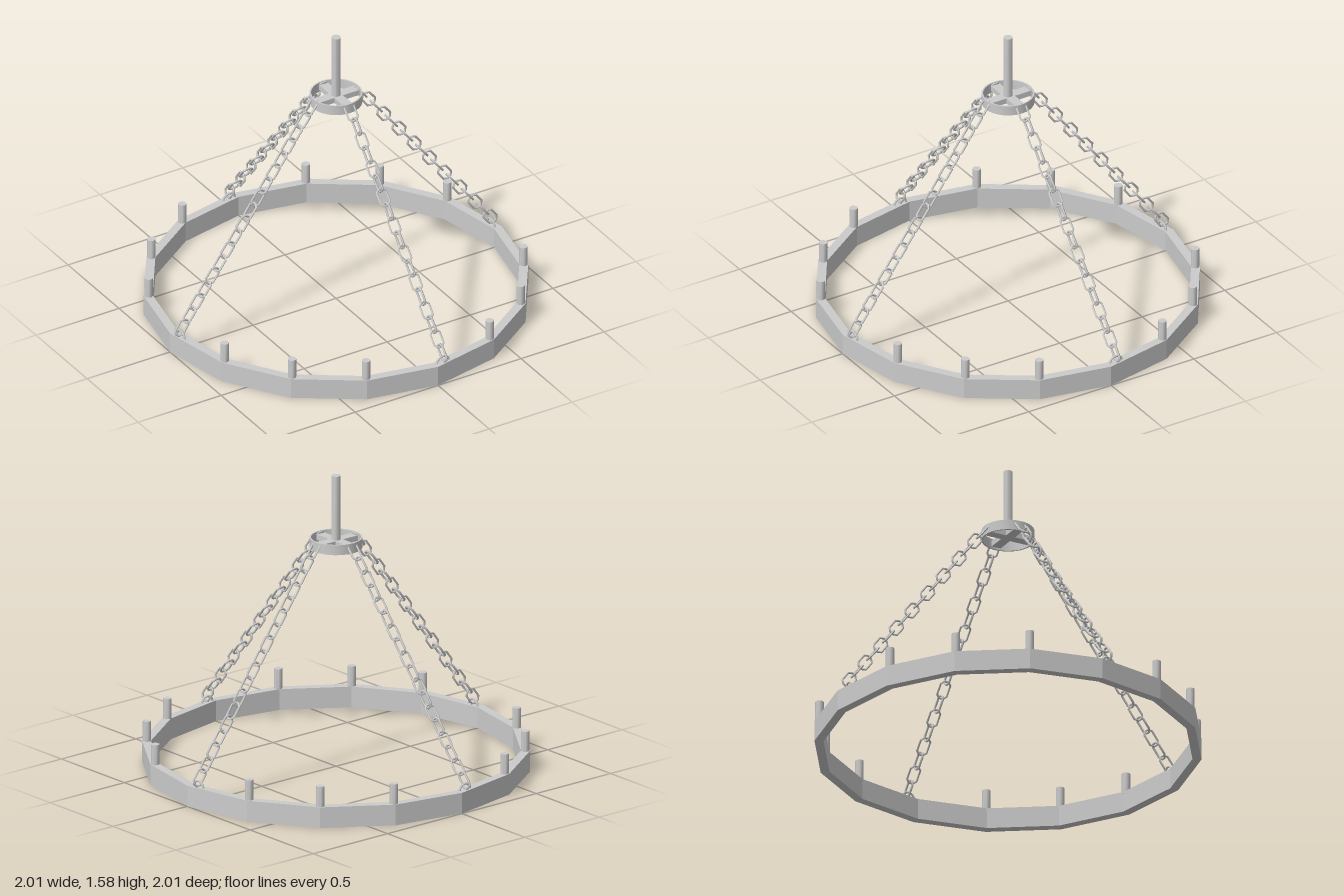
import * as THREE from 'three';
import { toCreasedNormals } from 'three/addons/utils/BufferGeometryUtils.js';

const smooth = new THREE.MeshStandardMaterial({ color: 0xcccccc });
const flat = new THREE.MeshStandardMaterial({ color: 0xcccccc, flatShading: true });

function add(parent, name, geometry, material = smooth, x = 0, y = 0, z = 0) {
  const mesh = new THREE.Mesh(geometry, material);
  mesh.name = name;
  mesh.position.set(x, y, z);
  parent.add(mesh);
  return mesh;
}

// Closed band with a rectangular section
function band(inner, outer, bottom, top, sides) {
  const profile = [[inner, bottom], [outer, bottom], [outer, top], [inner, top], [inner, bottom]];
  return new THREE.LatheGeometry(profile.map(([r, y]) => new THREE.Vector2(r, y)), sides);
}

// Eight-sided torus stretched along y into a chain link
function linkGeometry(radius, wire, stretch) {
  const g = new THREE.TorusGeometry(radius, wire, 6, 8).rotateZ(Math.PI / 8);
  const p = g.attributes.position;
  for (let i = 0; i < p.count; i++) p.setY(i, p.getY(i) + Math.sign(p.getY(i)) * stretch);
  g.computeVertexNormals();
  return g;
}

export function createModel() {
  const model = new THREE.Group();
  model.name = 'chandelier';

  // Sixteen-sided wheel
  add(model, 'wheelRim', band(0.953, 1, 0, 0.112, 16), flat);

  // Candles on every corner except the four that carry chains
  const candle = toCreasedNormals(new THREE.CylinderGeometry(0.022, 0.022, 0.12, 12), 0.7);
  for (let i = 0; i < 16; i++) {
    if (i % 4 === 0) continue;
    const a = (i * Math.PI) / 8;
    add(model, 'candle', candle, smooth, 0.974 * Math.sin(a), 0.16, 0.974 * Math.cos(a));
  }

  // Hub ring, cross bars and hanging rod
  add(model, 'hubRing', toCreasedNormals(band(0.128, 0.136, 1.188, 1.242, 32), 0.6));
  add(model, 'crossBarX', new THREE.BoxGeometry(0.26, 0.03, 0.052), flat, 0, 1.215, 0);
  add(model, 'crossBarZ', new THREE.BoxGeometry(0.052, 0.03, 0.26), flat, 0, 1.215, 0);
  const rod = toCreasedNormals(new THREE.CylinderGeometry(0.024, 0.024, 0.375, 16), 0.7);
  add(model, 'hangingRod', rod, smooth, 0, 1.3875, 0);

  // Four chains of alternating links, each ending in an eye set in the rim
  const link = linkGeometry(0.03, 0.006, 0.018);
  const eye = new THREE.TorusGeometry(0.037, 0.006, 6, 12);
  const start = new THREE.Vector3(0.15, 1.2, 0);
  const end = new THREE.Vector3(0.96, 0.16, -0.05);
  const up = new THREE.Vector3(0, 1, 0);
  const along = end.clone().sub(start).normalize().negate();
  const count = 18;
  for (let k = 0; k < 4; k++) {
    const chain = new THREE.Group();
    chain.name = 'chain';
    for (let i = 0; i < count; i++) {
      const m = add(chain, 'chainLink', link);
      m.position.lerpVectors(start, end, i / (count - 1));
      m.quaternion.setFromUnitVectors(up, along);
      if (i % 2 === 0) m.rotateY(Math.PI / 2);
    }
    add(chain, 'rimEye', eye, smooth, 0.965, 0.106, -0.05).rotation.y = Math.PI / 2;
    chain.rotation.y = (k * Math.PI) / 2;
    model.add(chain);
  }
  return model;
}
